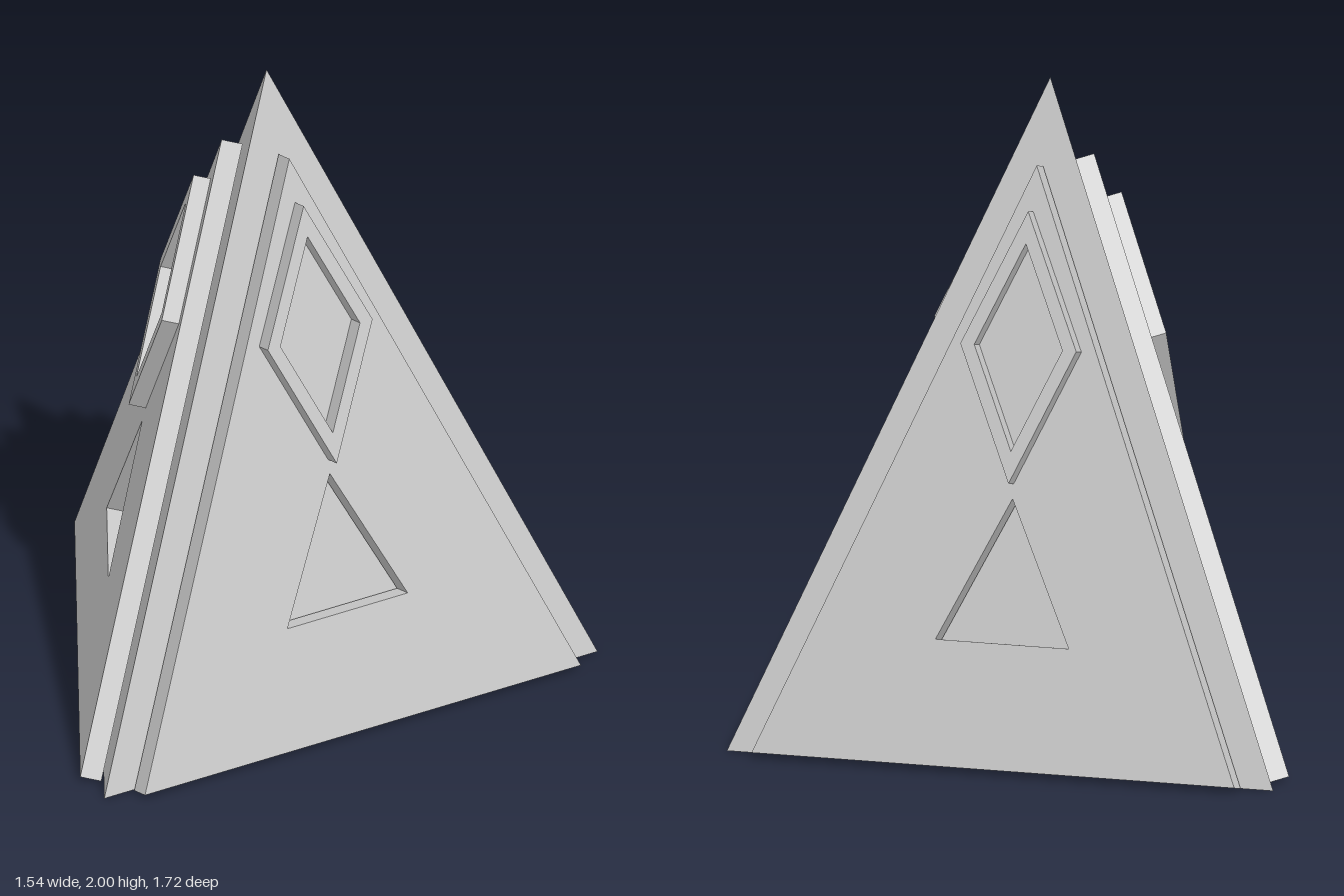
import * as THREE from 'three';

const HEIGHT = 2, RADIUS = 0.98, INRADIUS = RADIUS / 2, AXIS_X = -0.21;

const polygon = (Type, pts) => new Type(pts.map(([x, y]) => new THREE.Vector2(x, y)));
const triangle = (half, y0, y1) => [[-half, y0], [half, y0], [0, y1]];
const diamond = (hw, hh, cy) => [[0, cy - hh], [hw, cy], [0, cy + hh], [-hw, cy]];

// Flat plate with one hole, lying between two heights above the pyramid face
function plate(name, outline, hole, from, to, material) {
  const shape = polygon(THREE.Shape, outline);
  shape.holes.push(polygon(THREE.Path, hole));
  const geometry = new THREE.ExtrudeGeometry(shape, { depth: to - from, bevelEnabled: false });
  geometry.translate(0, 0, from);
  const mesh = new THREE.Mesh(geometry, material);
  mesh.name = name;
  return mesh;
}

export function createModel() {
  const model = new THREE.Group();
  model.name = 'pyramid';
  const material = new THREE.MeshStandardMaterial({ color: 0xcccccc, flatShading: true });
  const shellMaterial = material.clone();
  shellMaterial.side = THREE.DoubleSide;

  // Three-sided hollow shell, open underneath
  const shell = new THREE.Mesh(new THREE.ConeGeometry(RADIUS, HEIGHT, 3, 1, true), shellMaterial);
  shell.name = 'shell';
  shell.rotation.y = Math.PI / 2;
  shell.position.set(AXIS_X, HEIGHT / 2, 0);
  model.add(shell);

  // The same raised panel and diamond frame on each face
  ['leftFace', 'backFace', 'rightFace'].forEach((name, i) => {
    const side = new THREE.Group();
    side.name = name;
    side.position.x = AXIS_X;
    side.rotation.y = Math.PI / 6 + (i * Math.PI * 2) / 3;

    const slope = new THREE.Group();
    slope.name = 'slopedParts';
    slope.position.z = INRADIUS;
    slope.rotation.x = -Math.atan2(INRADIUS, HEIGHT);
    slope.add(
      plate('panel', triangle(0.75, 0, 1.795), triangle(0.207, 0.375, 0.806), 0.008, 0.072, material),
      plate('diamondFrame', diamond(0.18, 0.404, 1.254), diamond(0.137, 0.308, 1.254), 0.072, 0.124, material),
    );
    side.add(slope);
    model.add(side);
  });
  return model;
}
